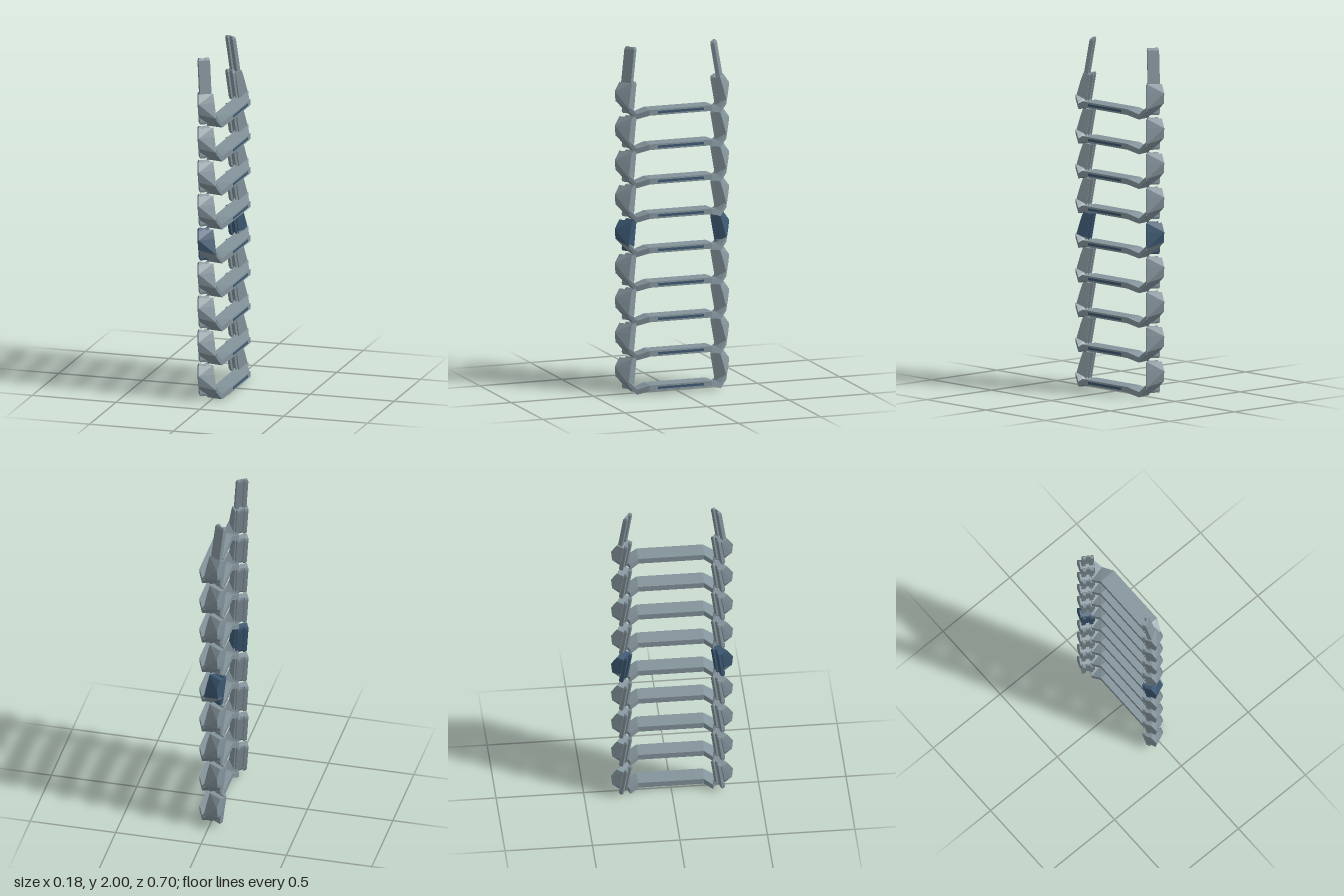
import * as THREE from 'three';
import { ConvexGeometry } from 'three/addons/geometries/ConvexGeometry.js';

const STEP = 0.2, RUNGS = 9;

// Side frame: u runs across the rail, v points outward; s mirrors in z
const U = [0.83, -0.55], V = [0.55, 0.83], C = [-0.045, 0.268];
const plan = (u, v, s) => [C[0] + u * U[0] + v * V[0], s * (C[1] + u * U[1] + v * V[1])];

// Grooved rail plate, leaning inward towards its top
function railGeometry(y0, y1, s) {
  const outline = [
    [-0.034, 0.012], [0.034, 0.012], [0.034, -0.012], [0.011, -0.012],
    [0.011, 0], [-0.011, 0], [-0.011, -0.012], [-0.034, -0.012],
  ];
  const shape = new THREE.Shape(outline.map(([u, v]) => {
    const [x, z] = plan(u, v, s);
    return new THREE.Vector2(x, -z);
  }));
  const b = 0.012;
  const g = new THREE.ExtrudeGeometry(shape, {
    depth: y1 - y0 - 2 * b, bevelThickness: b, bevelSize: 0.004, bevelOffset: -0.004, bevelSegments: 1,
  });
  g.rotateX(-Math.PI / 2).translate(0, y0 + b, 0);
  const p = g.attributes.position;
  for (let i = 0; i < p.count; i++) {
    const shift = 0.17 * (y1 - p.getY(i)) - 0.02;
    p.setX(i, p.getX(i) + V[0] * shift);
    p.setZ(i, p.getZ(i) + s * V[1] * shift);
  }
  g.computeVertexNormals();
  return g;
}

// Faceted solid around the rail from a few [u, v, y] corners
const hull = (corners, s) => new ConvexGeometry(corners.map(([u, v, y]) => {
  const [x, z] = plan(u, v, s);
  return new THREE.Vector3(x, y, z);
}));

const BRACKET = [
  [-0.04, -0.012, 0.19], [0.04, -0.012, 0.19], [-0.045, 0.028, 0.2], [0.043, 0.028, 0.2],
  [-0.053, 0.062, 0.15], [0.046, 0.045, 0.15],
  [-0.053, 0.055, 0.09], [0.05, 0.07, 0.06],
  [0.045, 0.005, 0.055], [-0.042, 0.008, 0.085],
];
// Slanted foot joining the bracket to its rung
const FOOT = [
  [-0.052, 0.054, 0.092], [0.049, 0.069, 0.062], [0.044, 0.006, 0.06], [-0.041, 0.009, 0.087],
  [0.045, 0.01, 0.006], [0.035, 0.03, 0.012], [-0.03, 0.015, 0.055], [-0.025, 0.035, 0.055],
];

// Rung lofted through four-cornered stations, bent down and up at each end
function rungGeometry() {
  // inner x, inner z, outer x, outer z, bottom y, top y
  const half = [
    [-0.015, 0.187, 0.085, 0.19, 0.022, 0.055],
    [-0.04, 0.235, 0.055, 0.255, 0, 0.03],
    [-0.02, 0.275, 0.036, 0.298, 0.048, 0.075],
  ];
  const stations = [
    ...half.slice().reverse().map(([a, b, c, d, e, f]) => [a, -b, c, -d, e, f]),
    ...half,
  ];
  const pos = [], idx = [];
  stations.forEach(([xi, zi, xo, zo, y0, y1]) => pos.push(xi, y0, zi, xo, y0, zo, xo, y1, zo, xi, y1, zi));
  for (let i = 0; i < stations.length - 1; i++) {
    for (let j = 0; j < 4; j++) {
      const a = i * 4 + j, b = i * 4 + (j + 1) % 4;
      idx.push(a, b, b + 4, a, b + 4, a + 4);
    }
  }
  const e = (stations.length - 1) * 4;
  idx.push(0, 2, 1, 0, 3, 2, e, e + 1, e + 2, e, e + 2, e + 3);
  const g = new THREE.BufferGeometry();
  g.setAttribute('position', new THREE.Float32BufferAttribute(pos, 3));
  g.setIndex(idx);
  const flat = g.toNonIndexed();
  flat.computeVertexNormals();
  return flat;
}

export function createModel() {
  const model = new THREE.Group();
  model.name = 'ladder';

  const steel = new THREE.MeshStandardMaterial({ color: 0x84949c, flatShading: true });
  steel.name = 'grey steel';
  const blue = new THREE.MeshStandardMaterial({ color: 0x3c5872, flatShading: true });
  blue.name = 'dark blue';

  const add = (parent, name, geometry, material) => {
    const mesh = new THREE.Mesh(geometry, material);
    mesh.name = name;
    parent.add(mesh);
    return mesh;
  };

  const rung = rungGeometry();
  const strip = new THREE.BoxGeometry(0.004, 0.014, 0.28);
  const sides = [['left', 1], ['right', -1]].map(([name, s]) => ({
    name, s, bracket: hull(BRACKET, s), foot: hull(FOOT, s), rail: railGeometry(0.02, 0.2, s),
  }));

  // Repeated ladder segments, with one blue pair of brackets in the middle
  for (let k = 0; k < RUNGS; k++) {
    const segment = new THREE.Group();
    segment.name = `segment${k + 1}`;
    segment.position.y = k * STEP;
    const paint = k === 4 ? blue : steel;
    add(segment, 'rung', rung, steel);
    add(segment, 'rungEdgeStrip', strip, blue).position.set(0.084, 0.0385, 0);
    for (const { name, bracket, foot, rail } of sides) {
      add(segment, `${name}Bracket`, bracket, paint);
      add(segment, `${name}Foot`, foot, steel);
      add(segment, `${name}Rail`, rail, paint);
    }
    model.add(segment);
  }

  // Bare rail ends above the last rung
  for (const { name, s } of sides) add(model, `${name}RailEnd`, railGeometry(1.78, 2, s), steel);

  return model;
}
